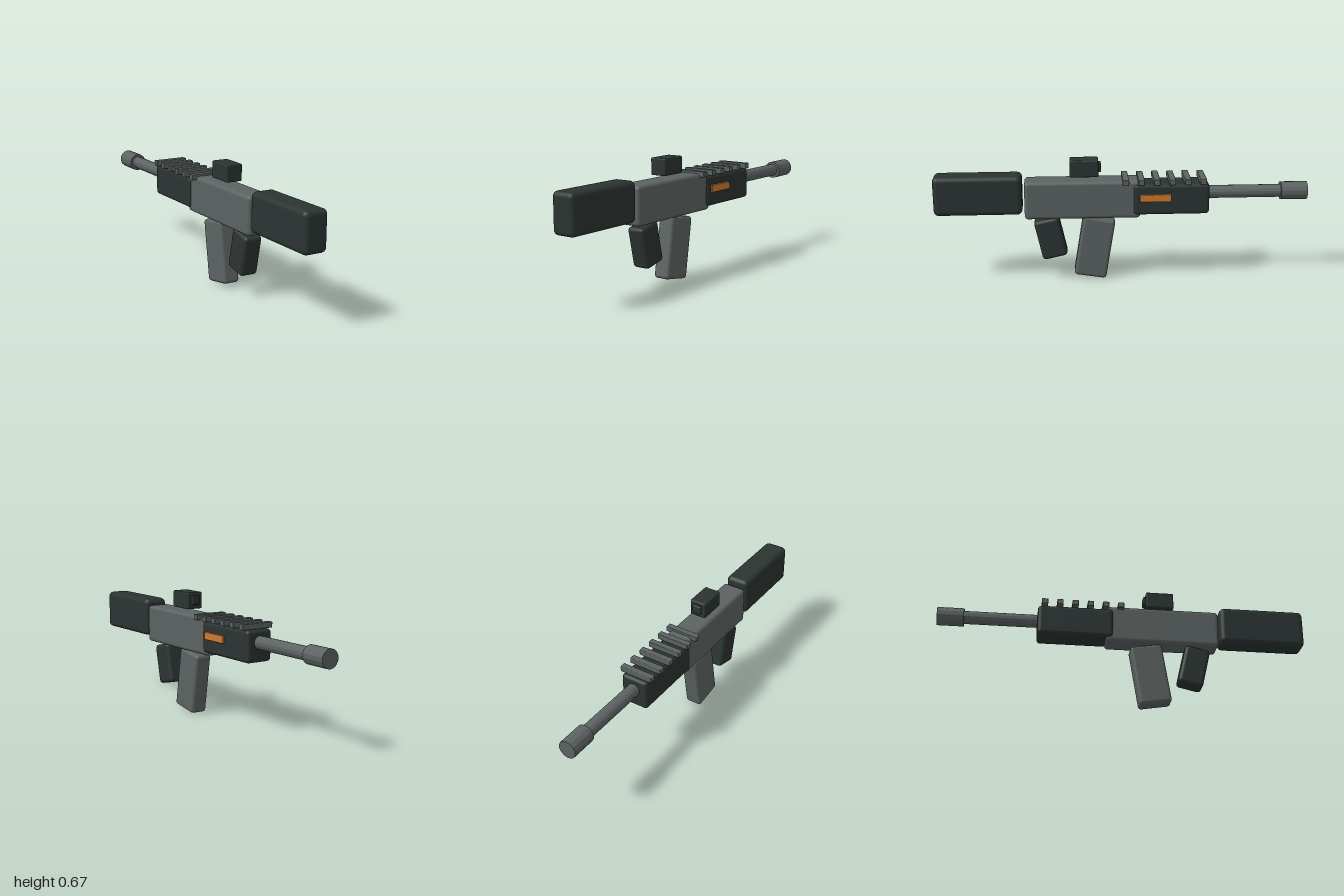
import * as THREE from 'three';
import { RoundedBoxGeometry } from 'three/addons/geometries/RoundedBoxGeometry.js';

function material(name, color) {
  const m = new THREE.MeshStandardMaterial({ color });
  m.name = name;
  return m;
}

export function createModel() {
  const group = new THREE.Group();
  const grey = material('gunmetal grey', 0x5c6362);
  const dark = material('dark green grey', 0x2b3432);
  const orange = material('orange', 0xcd7a30);

  // Rounded block from its size and centre, tilted about x
  function block(name, mat, [w, h, d], [x, y, z], radius, tilt = 0) {
    const mesh = new THREE.Mesh(new RoundedBoxGeometry(w, h, d, 3, radius), mat);
    mesh.name = name;
    mesh.position.set(x, y, z);
    mesh.rotation.x = tilt;
    group.add(mesh);
  }

  // Faceted tube along z, between two z positions
  function tube(name, radius, z0, z1) {
    const geo = new THREE.CylinderGeometry(radius, radius, z0 - z1, 14).toNonIndexed();
    geo.computeVertexNormals();
    geo.rotateX(-Math.PI / 2);
    const mesh = new THREE.Mesh(geo, grey);
    mesh.name = name;
    mesh.position.set(0, 0.472, (z0 + z1) / 2);
    group.add(mesh);
  }

  // Body
  block('stock', dark, [0.134, 0.212, 0.468], [0, 0.482, 0.766], 0.027);
  block('receiver', grey, [0.135, 0.206, 0.616], [0, 0.453, 0.212], 0.02);
  block('handguard', dark, [0.152, 0.168, 0.408], [0, 0.453, -0.261], 0.02);

  // Grip and magazine lean towards each other at the bottom
  block('grip', dark, [0.102, 0.222, 0.137], [0, 0.234, 0.384], 0.02, 0.22);
  block('magazine', grey, [0.095, 0.336, 0.175], [0, 0.177, 0.148], 0.018, -0.16);

  // Barrel
  tube('barrel', 0.035, -0.4, -0.87);
  tube('muzzle', 0.049, -0.857, -1);

  // Sight with its small lens block
  block('sight', dark, [0.092, 0.091, 0.152], [0, 0.62, 0.202], 0.007);
  block('sightLens', dark, [0.052, 0.049, 0.03], [0, 0.622, 0.127], 0.006);

  // Ribs across the top rail
  for (let i = 0; i < 6; i++) {
    block('railRib', grey, [0.186, 0.031, 0.034], [0, 0.553, -0.017 - i * 0.0824], 0.004);
  }

  // Marker on the left side
  block('sideMarker', orange, [0.022, 0.041, 0.168], [0.075, 0.464, -0.176], 0.004);

  return group;
}
